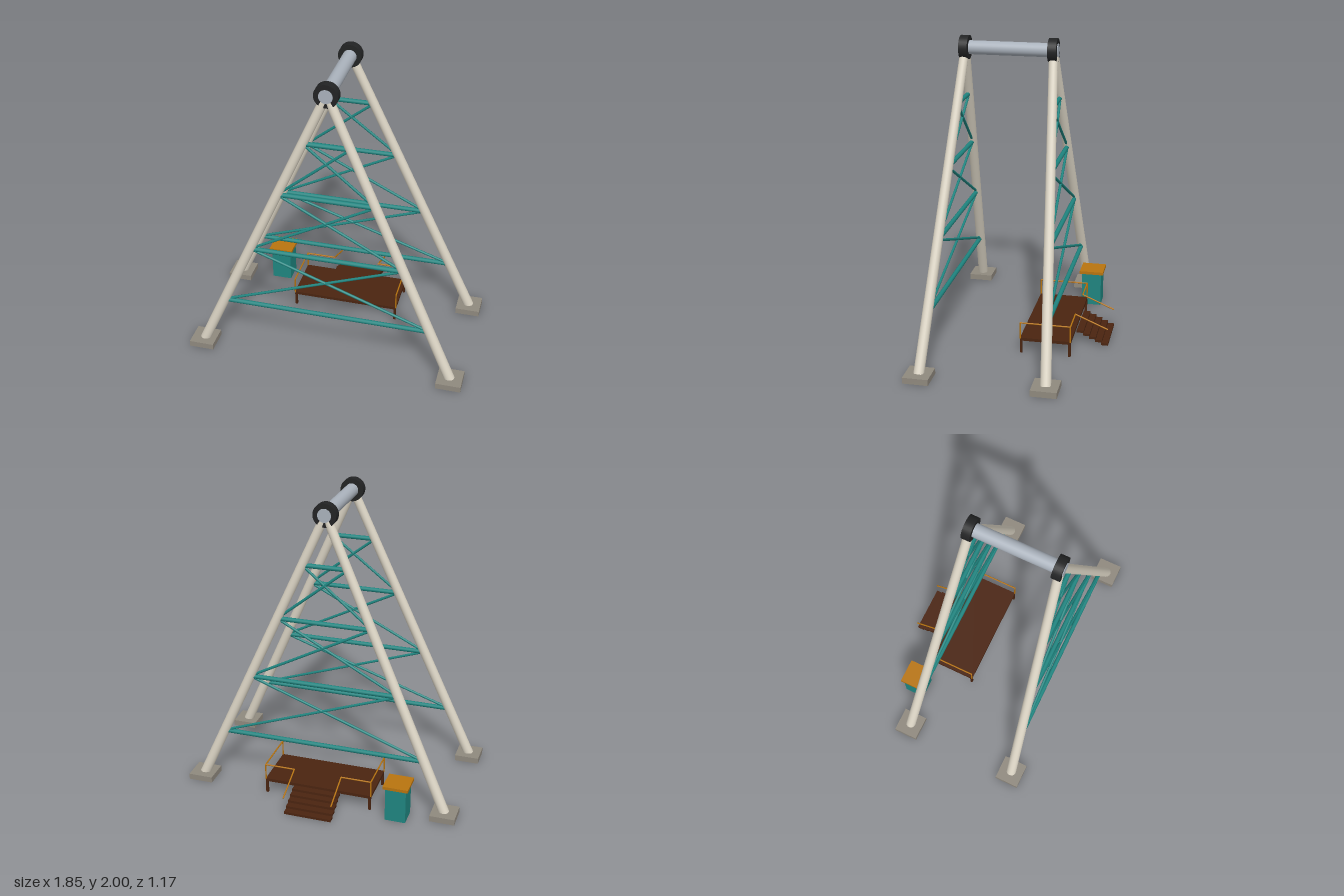
import * as THREE from 'three';

const mat = (name, color) => {
  const m = new THREE.MeshStandardMaterial({ color });
  m.name = name;
  return m;
};

export function createModel() {
  const cream = mat('cream paint', 0xdcd5c5);
  const teal = mat('teal paint', 0x1f8580);
  const concrete = mat('concrete', 0x8f897e);
  const black = mat('black hub', 0x222324);
  const steel = mat('steel', 0xaab2bc);
  const wood = mat('dark wood', 0x4a2410);
  const amber = mat('amber', 0xb8740f);

  const model = new THREE.Group();
  model.name = 'swingTower';
  const V = (x, y, z) => new THREE.Vector3(x, y, z);

  const add = (name, geo, material, pos, parent) => {
    const mesh = new THREE.Mesh(geo, material);
    mesh.name = name;
    mesh.position.copy(pos);
    parent.add(mesh);
    return mesh;
  };
  const box = (name, w, h, d, material, x, y, z, parent) =>
    add(name, new THREE.BoxGeometry(w, h, d), material, V(x, y, z), parent);
  // Round bar between two points, r0 at a and r1 at b
  const bar = (name, a, b, r0, r1, material, parent, sides = 12) => {
    const dir = b.clone().sub(a);
    const mesh = add(name, new THREE.CylinderGeometry(r1, r0, dir.length(), sides),
      material, a.clone().add(b).multiplyScalar(0.5), parent);
    mesh.quaternion.setFromUnitVectors(V(0, 1, 0), dir.normalize());
    return mesh;
  };

  // Two A-frames: splayed legs, footings, braces and hub
  const buildFrame = (name, footZ, topZ) => {
    const frame = new THREE.Group();
    frame.name = name;
    model.add(frame);
    const legPoint = (side, t) => V(0.84, 0.03, footZ).lerp(V(0, 1.925, topZ), t)
      .multiply(V(side, 1, 1));
    for (const side of [-1, 1]) {
      bar('leg', legPoint(side, 0), legPoint(side, 1), 0.034, 0.029, cream, frame, 20);
      box('footing', 0.165, 0.04, 0.165, concrete, side * 0.842, 0.02, footZ, frame);
    }
    const levels = [0.18, 0.403, 0.627, 0.823];
    levels.forEach((t, i) => {
      bar('crossbar', legPoint(-1, t), legPoint(1, t), 0.015, 0.015, teal, frame);
      if (i === levels.length - 1) return;
      for (const side of [-1, 1]) {
        bar('diagonalBrace', legPoint(side, t), legPoint(-side, levels[i + 1]),
          0.009, 0.009, teal, frame, 8);
      }
    });
    bar('hub', V(0, 1.925, topZ - 0.028), V(0, 1.925, topZ + 0.028),
      0.076, 0.076, black, frame, 32);
  };
  buildFrame('frontFrame', 0.502, 0.39);
  buildFrame('backFrame', -0.298, -0.18);
  bar('axle', V(0, 1.925, -0.212), V(0, 1.925, 0.422), 0.044, 0.044, steel, model, 28);

  // Boarding platform with posts and railings
  const platform = new THREE.Group();
  platform.name = 'boardingPlatform';
  model.add(platform);
  const zFront = -0.041, zBack = -0.369;
  box('deck', 0.73, 0.02, 0.332, wood, 0, 0.095, -0.205, platform);
  for (const side of [-1, 1]) {
    const x = side * 0.364, xs = side * 0.162, top = 0.21;
    for (const z of [zFront, zBack]) {
      const inset = z === zFront ? -0.005 : 0.005;
      box('platformPost', 0.016, 0.09, 0.016, wood, side * 0.357, 0.045, z + inset, platform);
      bar('railPost', V(x, 0.1, z), V(x, top, z), 0.005, 0.005, amber, platform, 8);
    }
    bar('sideRail', V(x, top, zFront), V(x, top, zBack), 0.005, 0.005, amber, platform, 8);
    bar('backRail', V(x, top, zBack), V(xs, top, zBack), 0.005, 0.005, amber, platform, 8);
    bar('stairRail', V(xs, top, zBack), V(xs, 0.119, -0.586), 0.005, 0.005, amber, platform, 8);
  }

  // Steps down to the ground behind the platform
  for (let i = 0; i < 5; i++) {
    box('step', 0.318, 0.016, 0.046, wood, 0, 0.086 - i * 0.0192, -0.402 - i * 0.041, platform);
  }

  // Control booth with overhanging roof
  const booth = new THREE.Group();
  booth.name = 'controlBooth';
  model.add(booth);
  box('boothBody', 0.136, 0.235, 0.136, teal, -0.55, 0.1175, -0.382, booth);
  box('boothRoof', 0.166, 0.02, 0.166, amber, -0.55, 0.245, -0.382, booth);

  return model;
}
